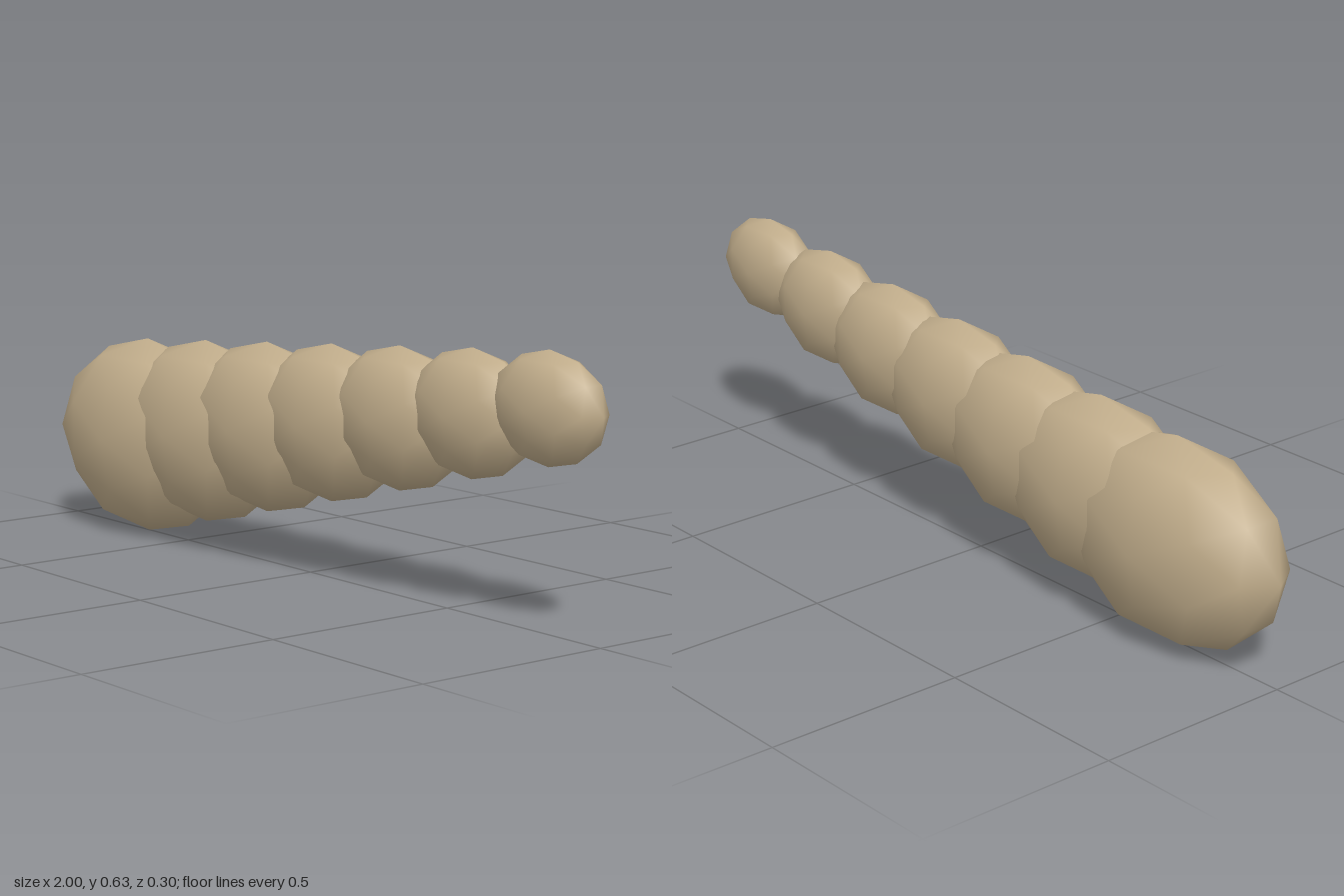
import * as THREE from 'three';

// Tapering chain of overlapping, flattened low-poly ellipsoids rising toward +x
export function createModel() {
  const model = new THREE.Group();
  model.name = 'segmentedTail';

  const material = new THREE.MeshStandardMaterial({ color: 0xc2ae8c });
  const geometry = new THREE.IcosahedronGeometry(1, 1); // smooth normals
  const count = 7;

  for (let i = 0; i < count; i++) {
    const t = i / (count - 1);
    const size = THREE.MathUtils.lerp(1, 0.517, t);
    const segment = new THREE.Mesh(geometry, material);
    segment.name = `tailSegment${i + 1}`;
    segment.scale.set(0.33 * size, 0.249 * size, 0.149 * size);
    segment.position.set(
      THREE.MathUtils.lerp(-0.67, 0.829, t),
      THREE.MathUtils.lerp(0.25, 0.5, t),
      0
    );
    model.add(segment);
  }
  return model;
}
